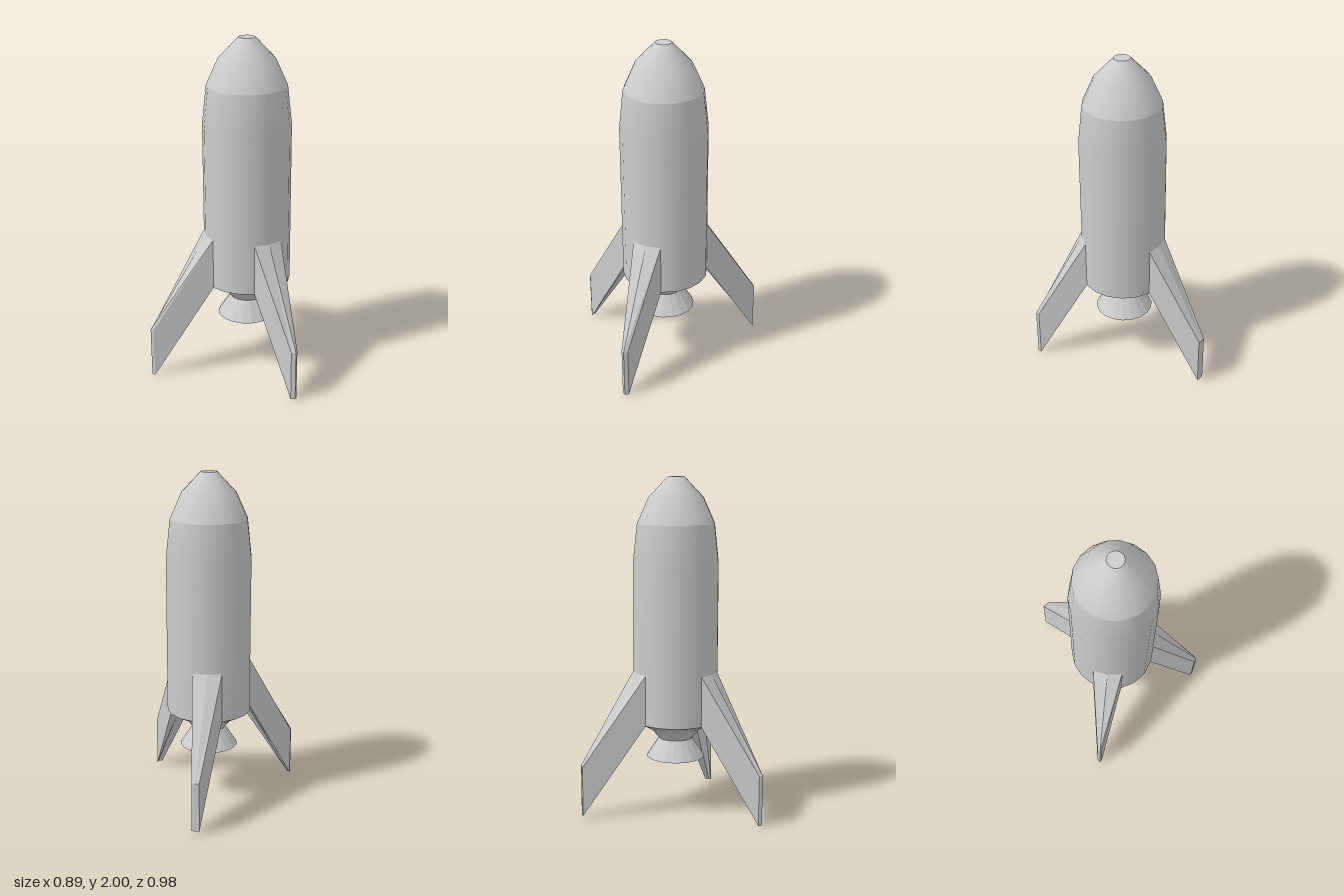
import * as THREE from 'three';

const AXIS = { x: 0.018, z: 0.1 }; // centre line of the rocket
const RADIUS = 0.254;
const HULL_BASE = 0.555;
const FIN_TOP = 0.855;

const smooth = new THREE.MeshStandardMaterial({ color: 0xcccccc });
const flat = new THREE.MeshStandardMaterial({ color: 0xcccccc, flatShading: true });

// Turned part; profile is [radius, height] from bottom to top
function turned(name, profile, sides, material) {
  const points = profile.map(([r, y]) => new THREE.Vector2(r, y));
  const mesh = new THREE.Mesh(new THREE.LatheGeometry(points, sides, Math.PI / 2), material);
  mesh.name = name;
  mesh.position.set(AXIS.x, 0, AXIS.z);
  return mesh;
}

// Fin: two hull faces drawn out to a slim, lowered tip
function fin(name, startDegrees, tip, tipTop, tipBottom) {
  const root = [0, 20, 40].map((step) => {
    const a = THREE.MathUtils.degToRad(startDegrees + step);
    return [AXIS.x + RADIUS * Math.cos(a), AXIS.z + RADIUS * Math.sin(a)];
  });
  // Four cross-section rows: root top, tip top, tip bottom, root bottom
  const rows = [[root, FIN_TOP], [tip, tipTop], [tip, tipBottom], [root, HULL_BASE]];
  const positions = rows.flatMap(([line, y]) => line.flatMap(([x, z]) => [x, y, z]));
  const index = [];
  const quad = (a, b, c, d) => index.push(a, b, c, a, c, d);
  // Top, outer end and underside
  for (let r = 0; r < 3; r++) {
    for (let i = 0; i < 2; i++) {
      const a = r * 3 + i;
      quad(a, a + 1, a + 4, a + 3);
    }
  }
  // Two flanks
  quad(0, 3, 6, 9);
  quad(2, 11, 8, 5);
  // Every quad above runs clockwise from outside, so flip the winding
  for (let i = 0; i < index.length; i += 3) {
    [index[i + 1], index[i + 2]] = [index[i + 2], index[i + 1]];
  }
  const indexed = new THREE.BufferGeometry();
  indexed.setAttribute('position', new THREE.Float32BufferAttribute(positions, 3));
  indexed.setIndex(index);
  const geometry = indexed.toNonIndexed();
  geometry.computeVertexNormals();
  const material = flat.clone();
  material.side = THREE.DoubleSide;
  const mesh = new THREE.Mesh(geometry, material);
  mesh.name = name;
  return mesh;
}

export function createModel() {
  const rocket = new THREE.Group();
  rocket.name = 'rocket';

  // Hull and nose, smooth around with a crease between them
  rocket.add(
    turned('hull', [[RADIUS, HULL_BASE], [RADIUS, 1.5], [0.229, 1.73]], 18, smooth),
    turned('noseCone', [[0.229, 1.73], [0.162, 1.88], [0.048, 2]], 18, smooth),
    turned('noseCap', [[0.048, 2], [0, 2]], 18, flat),
  );

  // Underside skirt, throat and closed engine bell
  rocket.add(
    turned('skirt', [[0.15, 0.5], [RADIUS, HULL_BASE]], 18, flat),
    turned('engineBell', [[0, 0.325], [0.174, 0.325], [0.1, 0.44], [0.15, 0.5]], 18, flat),
  );

  // Three fins, each with its own slightly different tip
  rocket.add(
    fin('leftFin', 20, [[0.445, 0.435], [0.445, 0.46], [0.42, 0.466]], 0.305, 0.003),
    fin('rightFin', 120, [[-0.425, 0.49], [-0.444, 0.49], [-0.444, 0.468]], 0.302, 0),
    fin('backFin', 240, [[-0.056, -0.491], [-0.034, -0.492], [-0.011, -0.49]], 0.318, 0.018),
  );
  return rocket;
}
